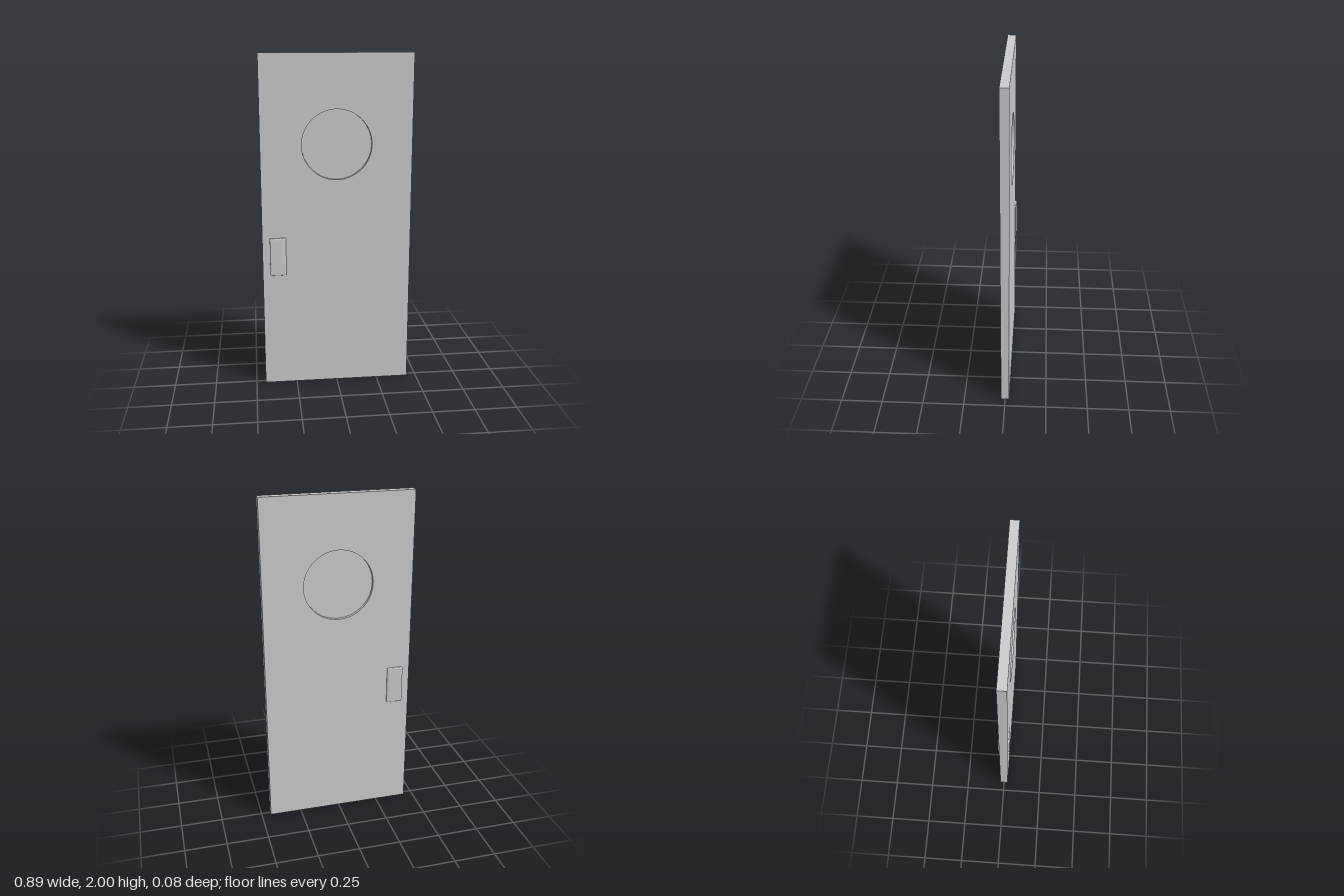
import * as THREE from 'three';

const HALF_W = 0.444, HEIGHT = 2, THICK = 0.05;
const WINDOW = { y: 1.48, r: 0.205, segments: 32 };

const material = new THREE.MeshStandardMaterial({ color: 0xcccccc });

function part(name, geometry) {
  const mesh = new THREE.Mesh(geometry, material);
  mesh.name = name;
  return mesh;
}

// Slab with a round opening
function doorPanel() {
  const shape = new THREE.Shape([
    [-HALF_W, 0], [HALF_W, 0], [HALF_W, HEIGHT], [-HALF_W, HEIGHT],
  ].map(([x, y]) => new THREE.Vector2(x, y)));
  const hole = new THREE.Path();
  hole.absarc(0, WINDOW.y, WINDOW.r, 0, Math.PI * 2, true);
  shape.holes.push(hole);
  const geometry = new THREE.ExtrudeGeometry(shape, {
    depth: THICK, bevelEnabled: false, curveSegments: WINDOW.segments,
  });
  return geometry.translate(0, 0, -THICK / 2);
}

// Thin pane set back from both faces
function windowPane() {
  return new THREE.CylinderGeometry(WINDOW.r, WINDOW.r, 0.014, WINDOW.segments)
    .rotateX(Math.PI / 2)
    .translate(0, WINDOW.y, 0);
}

// Tapered grip plate, its cross-section extruded upwards; side is 1 (front) or -1 (back)
function gripPlate(side) {
  const profile = [
    [-0.4, 0.01], [-0.304, 0.01], [-0.304, 0.027], [-0.308, 0.03],
    [-0.32, 0.0325], [-0.394, 0.0375], [-0.4, 0.035],
  ].map(([x, y]) => new THREE.Vector2(x, y));
  const geometry = new THREE.ExtrudeGeometry(new THREE.Shape(profile), {
    depth: 0.21, bevelThickness: 0.01, bevelSize: 0.004, bevelOffset: -0.004, bevelSegments: 3,
  });
  return geometry
    .translate(0, 0, -0.105)
    .rotateX(side * Math.PI / 2)
    .translate(0, 0.815, 0);
}

export function createModel() {
  const door = new THREE.Group();
  door.name = 'door';
  door.add(
    part('doorPanel', doorPanel()),
    part('windowPane', windowPane()),
    part('frontGrip', gripPlate(1)),
    part('backGrip', gripPlate(-1)),
  );
  return door;
}
